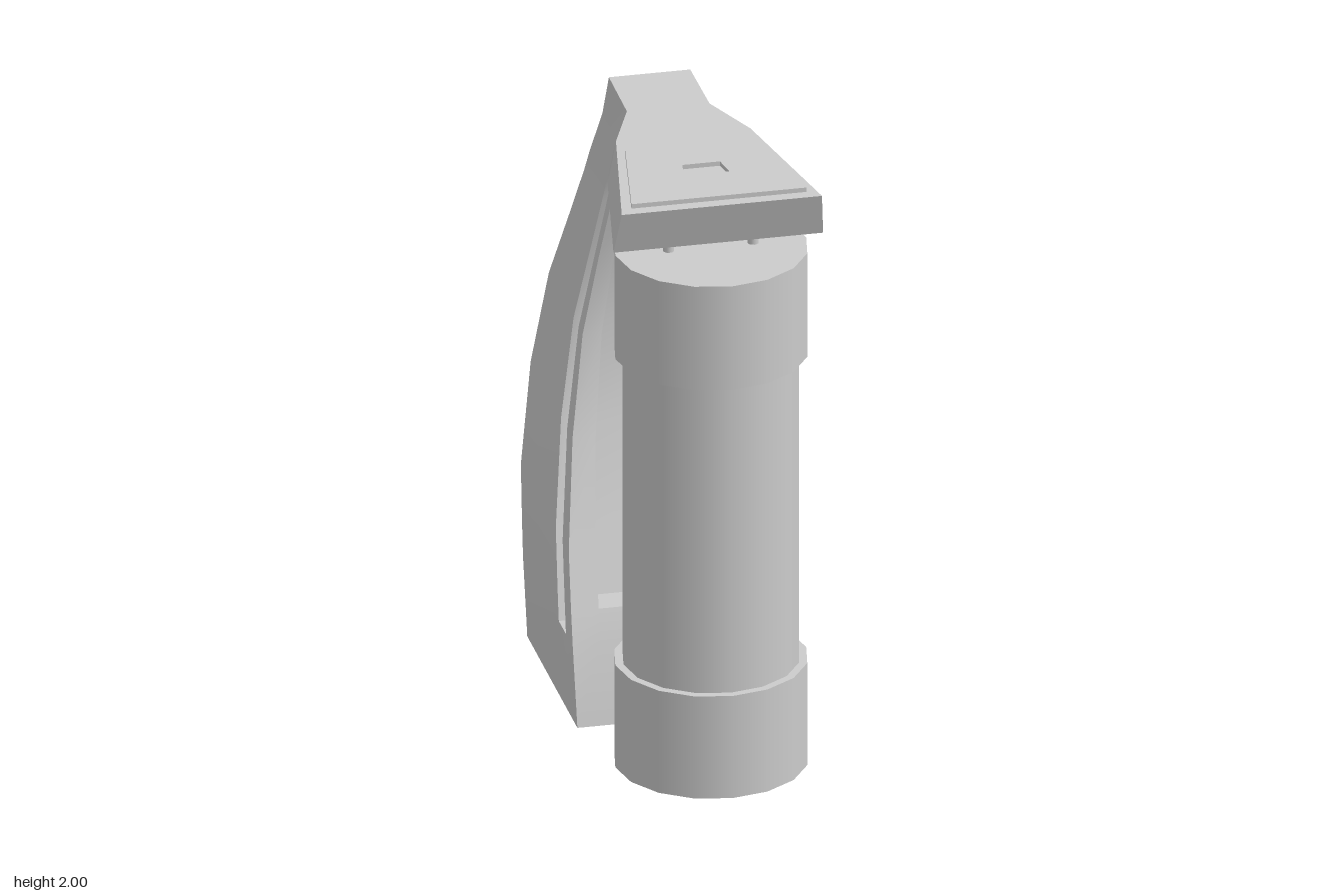
import * as THREE from 'three';
import { toCreasedNormals } from 'three/addons/utils/BufferGeometryUtils.js';

const material = new THREE.MeshStandardMaterial({ color: 0xcccccc });

function part(name, geometry, x = 0, y = 0, z = 0) {
  const mesh = new THREE.Mesh(geometry, material);
  mesh.name = name;
  mesh.position.set(x, y, z);
  return mesh;
}

// Skins stacked outlines; each level is { y, half } with half = [x, z] points of the +x side, front to back
function loft(levels) {
  const rings = levels.map(({ y, half }) => [
    ...half.map(([x, z]) => [x, y, z]),
    ...half.map(([x, z]) => [-x, y, z]).reverse(),
  ]);
  const n = rings[0].length;
  const positions = [];
  const quad = (a, b, c, d) => positions.push(...a, ...b, ...c, ...a, ...c, ...d);
  for (let r = 0; r < rings.length - 1; r++) {
    for (let i = 0; i < n; i++) {
      const j = (i + 1) % n;
      quad(rings[r][i], rings[r][j], rings[r + 1][j], rings[r + 1][i]);
    }
  }
  // End caps, as strips across the mirror plane
  const bottom = rings[0];
  const top = rings[rings.length - 1];
  for (let i = 0; i < n / 2 - 1; i++) {
    quad(top[i], top[i + 1], top[n - 2 - i], top[n - 1 - i]);
    quad(bottom[n - 1 - i], bottom[n - 2 - i], bottom[i + 1], bottom[i]);
  }
  const geometry = new THREE.BufferGeometry();
  geometry.setAttribute('position', new THREE.Float32BufferAttribute(positions, 3));
  return toCreasedNormals(geometry, 0.42);
}

// Curved back column with a groove in each side and a recessed front panel
function columnGeometry() {
  const GROOVE = 0.025;
  const RECESS = 0.105;
  // y, front z, back z, half width, groove front z, groove back z, groove on, recess on
  const rows = [
    [0.0, 0.13, -0.57, 0.345, 0.03, -0.07, 0, 0],
    [0.25, 0.065, -0.63, 0.345, -0.03, -0.13, 0, 0],
    [0.25, 0.065, -0.63, 0.345, -0.03, -0.13, 1, 0],
    [0.35, 0.02, -0.665, 0.34, -0.07, -0.17, 1, 0],
    [0.35, 0.02, -0.665, 0.34, -0.07, -0.17, 1, 1],
    [0.52, -0.056, -0.725, 0.33, -0.142, -0.237, 1, 1],
    [0.84, -0.2, -0.785, 0.285, -0.275, -0.36, 1, 1],
    [1.155, -0.278, -0.75, 0.235, -0.335, -0.405, 1, 1],
    [1.42, -0.27, -0.65, 0.185, -0.315, -0.37, 1, 1],
    [1.58, -0.238, -0.58, 0.16, -0.285, -0.335, 1, 1],
    [1.58, -0.238, -0.58, 0.16, -0.285, -0.335, 1, 0],
    [1.655, -0.223, -0.55, 0.15, -0.27, -0.315, 1, 0],
    [1.835, -0.155, -0.43, 0.137, -0.19, -0.235, 1, 0],
    [1.835, -0.155, -0.43, 0.137, -0.19, -0.235, 0, 0],
  ];
  return loft(rows.map(([y, front, back, w, a, b, groove, recess]) => {
    const inner = w - GROOVE * groove;
    const panel = w * 0.74;
    return {
      y,
      half: [
        [panel, front - RECESS * recess], [panel, front], [w, front],
        [w, a], [inner, a], [inner, b], [w, b], [w, back],
      ],
    };
  }));
}

// Overhanging head: narrow neck flaring into a wide front
function headGeometry() {
  return loft([
    { y: 1.835, half: [[0.335, 0.59], [0.24, 0.095], [0.137, -0.155], [0.137, -0.43]] },
    { y: 1.985, half: [[0.32, 0.64], [0.215, 0.1], [0.132, -0.11], [0.13, -0.37]] },
  ]);
}

// Raised lid on the head, with a button-shaped opening
function lidGeometry() {
  const trapezoid = (backHalf, backZ, frontHalf, frontZ) => [
    [-frontHalf, frontZ], [frontHalf, frontZ], [backHalf, backZ], [-backHalf, backZ],
  ].map(([x, z]) => new THREE.Vector2(x, -z));
  const shape = new THREE.Shape(trapezoid(0.205, 0.18, 0.28, 0.6));
  shape.holes.push(new THREE.Path(trapezoid(0.06, 0.35, 0.073, 0.428)));
  return new THREE.ExtrudeGeometry(shape, { depth: 0.015, bevelEnabled: false })
    .rotateX(-Math.PI / 2);
}

export function createModel() {
  const group = new THREE.Group();
  group.name = 'machine';
  group.add(
    part('backColumn', columnGeometry()),
    part('head', headGeometry()),
    part('lid', lidGeometry(), 0, 1.985, 0),
  );

  // Canister: a tube with a wider collar at each end
  const canisterZ = 0.485;
  for (const [name, radius, y0, y1] of [
    ['canisterBase', 0.305, 0.02, 0.37],
    ['canisterBody', 0.279, 0.37, 1.42],
    ['canisterTop', 0.305, 1.42, 1.775],
  ]) {
    const geometry = new THREE.CylinderGeometry(radius, radius, y1 - y0, 16);
    group.add(part(name, geometry, 0, (y0 + y1) / 2, canisterZ));
  }

  // Two pins joining the canister to the head
  for (const side of [-1, 1]) {
    const pin = new THREE.CylinderGeometry(0.018, 0.018, 0.08, 12);
    group.add(part(side > 0 ? 'leftPin' : 'rightPin', pin, side * 0.135, 1.805, canisterZ));
  }
  return group;
}
